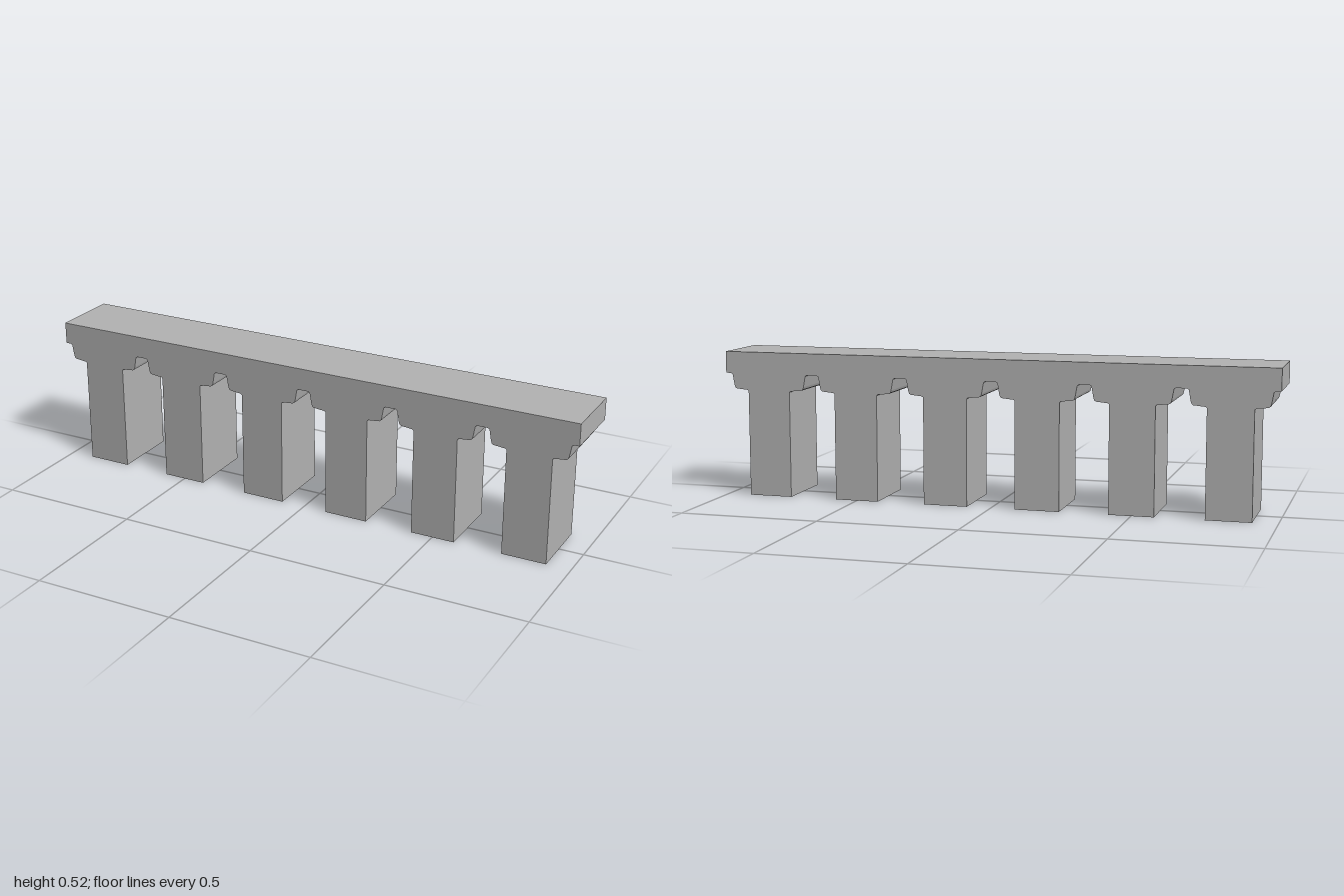
import * as THREE from 'three';

const LEGS = 6;
const PITCH = 2 / LEGS;
const HEIGHT = 0.524;
const DEPTH = 0.246;

// Half of one opening, from its crown to the foot of the leg: [offset from crown, y]
const HALF_OPENING = [
  [0, 0.446], [0.019, 0.446], [0.025, 0.442], [0.032, 0.403],
  [0.035, 0.394], [0.041, 0.39], [0.082, 0.386], [0.087, 0.382], [0.087, 0],
];

export function createModel() {
  const group = new THREE.Group();
  group.name = 'arcade';

  const stone = new THREE.MeshStandardMaterial({ color: 0xb3b3b3 });
  stone.name = 'grey stone';

  // Front outline: flat top, then a bracketed leg in every bay
  const outline = [[1, HEIGHT], [-1, HEIGHT]];
  for (let i = 0; i < LEGS; i++) {
    const left = -1 + i * PITCH;
    const right = left + PITCH;
    // The crown point is only needed at the outer ends
    const down = i === 0 ? HALF_OPENING : HALF_OPENING.slice(1);
    const up = i === LEGS - 1 ? HALF_OPENING : HALF_OPENING.slice(1);
    for (const [x, y] of down) outline.push([left + x, y]);
    for (const [x, y] of [...up].reverse()) outline.push([right - x, y]);
  }

  const shape = new THREE.Shape(outline.map(([x, y]) => new THREE.Vector2(x, y)));
  const geometry = new THREE.ExtrudeGeometry(shape, { depth: DEPTH, bevelEnabled: false });
  geometry.translate(0, 0, -DEPTH / 2);

  const wall = new THREE.Mesh(geometry, stone);
  wall.name = 'beamWithLegs';
  group.add(wall);
  return group;
}
